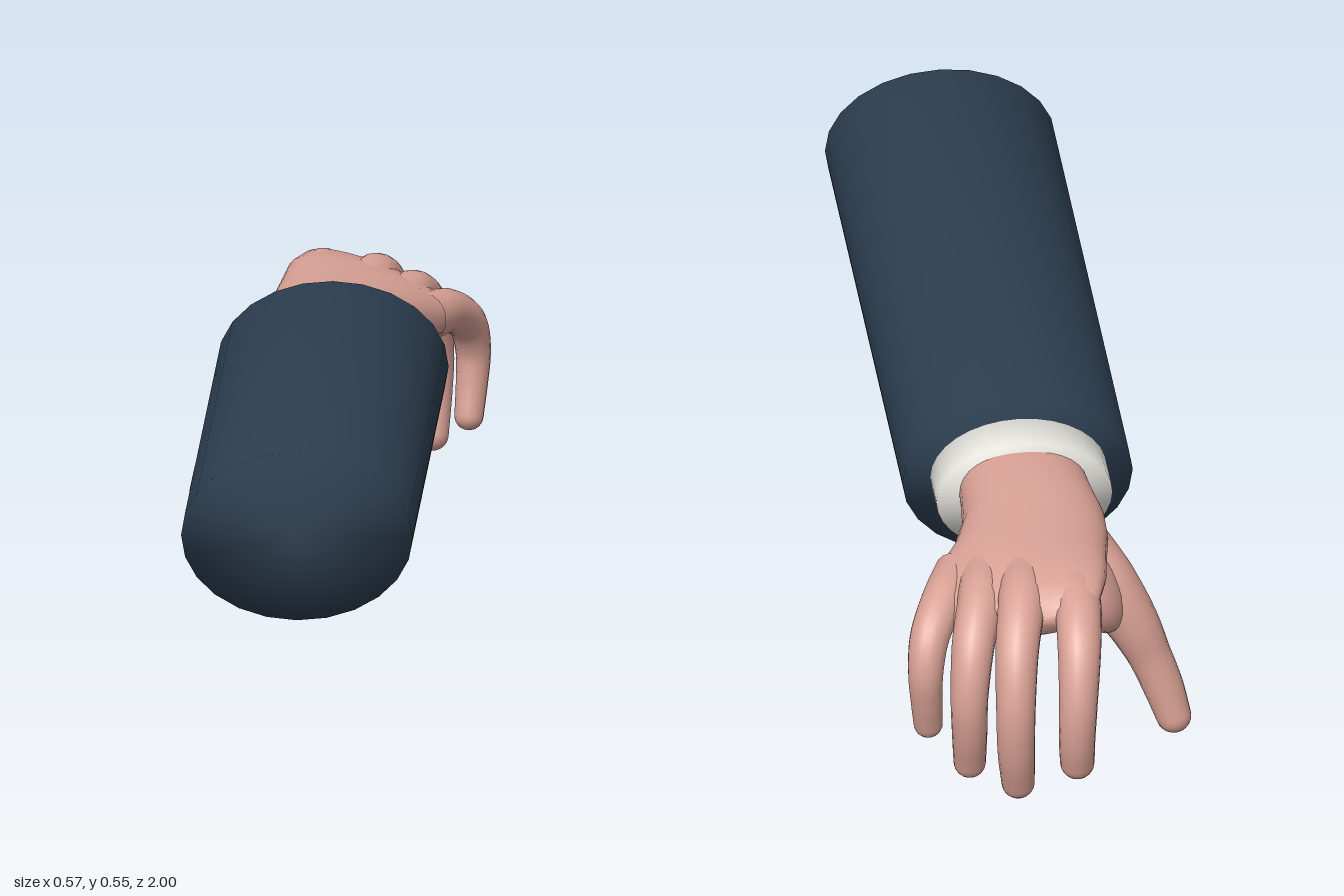
import * as THREE from 'three';

// Skin a list of rings (each a loop turning counter-clockwise about the travel direction)
function loft(rings) {
  const n = rings[0].length, pos = [], idx = [];
  rings.forEach(r => r.forEach(p => pos.push(p.x, p.y, p.z)));
  for (let i = 0; i < rings.length - 1; i++) {
    for (let j = 0; j < n; j++) {
      const k = (j + 1) % n;
      const a = i * n + j, b = i * n + k, c = b + n, d = a + n;
      idx.push(a, b, d, b, c, d);
    }
  }
  const g = new THREE.BufferGeometry();
  g.setAttribute('position', new THREE.Float32BufferAttribute(pos, 3));
  g.setIndex(idx);
  g.computeVertexNormals();
  return g;
}

// Rounded ring across z, with a sideways tilt (y) and a slant (z)
function zRing(n, z, cx, hw, cy, hh, tilt = 0, slant = 0, power = 1) {
  return Array.from({ length: n }, (_, j) => {
    const a = j / n * Math.PI * 2;
    const soft = v => Math.sign(v) * Math.abs(v) ** power;
    const dx = hw * soft(Math.cos(a));
    return new THREE.Vector3(cx + dx, cy - hh * soft(Math.sin(a)) + tilt * dx, z + slant * dx);
  });
}

// Closed oval tube with normals shared between wall and ends
function ovalTube(z0, z1, cx, hw, cy, hh, n) {
  return loft([
    zRing(n, z0, cx, 0, cy, 0), zRing(n, z0, cx, hw, cy, hh),
    zRing(n, z1, cx, hw, cy, hh), zRing(n, z1, cx, 0, cy, 0),
  ]);
}

// Tapered finger through [x, y, z, radius] points, with a round tip
function finger(points, sides = 18, steps = 28) {
  const curve = new THREE.CatmullRomCurve3(points.map(p => new THREE.Vector3(p[0], p[1], p[2])));
  const frames = curve.computeFrenetFrames(steps);
  const ring = (c, r, i) => Array.from({ length: sides }, (_, j) => {
    const a = j / sides * Math.PI * 2;
    return c.clone()
      .addScaledVector(frames.normals[i], r * Math.cos(a))
      .addScaledVector(frames.binormals[i], r * Math.sin(a));
  });
  const rings = [];
  for (let i = 0; i <= steps; i++) {
    const u = i / steps, s = curve.getUtoTmapping(u) * (points.length - 1);
    const k = Math.min(Math.floor(s), points.length - 2);
    rings.push(ring(curve.getPointAt(u), THREE.MathUtils.lerp(points[k][3], points[k + 1][3], s - k), i));
  }
  const end = curve.getPointAt(1), r = points[points.length - 1][3];
  for (let q = 1; q <= 6; q++) {
    const a = q / 6 * Math.PI / 2;
    rings.push(ring(end.clone().addScaledVector(frames.tangents[steps], r * Math.sin(a)), r * Math.cos(a), steps));
  }
  return loft(rings);
}

export function createModel() {
  const model = new THREE.Group();
  model.name = 'sleevedArm';
  const material = (name, color) => {
    const m = new THREE.MeshStandardMaterial({ color });
    m.name = name;
    return m;
  };
  const navy = material('navy cloth', 0x2c3e50);
  const white = material('white cloth', 0xe0ded8);
  const skin = material('skin', 0xd9a195);

  const add = (parent, name, geometry, mat) => {
    const mesh = new THREE.Mesh(geometry, mat);
    mesh.name = name;
    parent.add(mesh);
    return mesh;
  };

  // Sleeve and shirt cuff
  add(model, 'sleeve', ovalTube(1, -0.265, 0.01, 0.222, 0.39, 0.166, 24), navy);
  add(model, 'cuff', ovalTube(-0.2, -0.36, 0.008, 0.17, 0.398, 0.118, 32), white);

  const hand = new THREE.Group();
  hand.name = 'hand';
  model.add(hand);

  // Wrist and palm: z, centre x, half width, centre y, half height, tilt, slant
  const sections = [
    [-0.33, 0.01, 0.122, 0.412, 0.085, 0, 0],
    [-0.40, 0.008, 0.127, 0.41, 0.088, 0, 0],
    [-0.48, 0.005, 0.137, 0.407, 0.084, 0, 0],
    [-0.56, 0.02, 0.15, 0.405, 0.077, -0.05, 0],
    [-0.64, 0.045, 0.16, 0.41, 0.066, -0.12, 0.15],
    [-0.71, 0.06, 0.163, 0.41, 0.058, -0.2, 0.3],
    [-0.78, 0.07, 0.15, 0.405, 0.05, -0.25, 0.4],
    [-0.82, 0.075, 0.12, 0.393, 0.034, -0.28, 0.45],
    [-0.83, 0.075, 0, 0.39, 0, 0, 0],
  ];
  add(hand, 'palm', loft(sections.map(s => zRing(32, ...s, 0.88))), skin);

  // Fingers curling down from the knuckles
  const fingers = {
    indexFinger: [
      [-0.03, 0.415, -0.70, 0.05], [-0.04, 0.427, -0.81, 0.046], [-0.033, 0.385, -0.91, 0.042],
      [-0.025, 0.29, -0.962, 0.037], [-0.022, 0.21, -0.965, 0.035], [-0.024, 0.152, -0.952, 0.033],
    ],
    middleFinger: [
      [0.05, 0.42, -0.70, 0.05], [0.065, 0.422, -0.80, 0.046], [0.084, 0.37, -0.885, 0.042],
      [0.092, 0.27, -0.932, 0.038], [0.091, 0.17, -0.93, 0.036], [0.085, 0.09, -0.908, 0.032],
    ],
    ringFinger: [
      [0.12, 0.405, -0.66, 0.05], [0.14, 0.403, -0.755, 0.044], [0.163, 0.35, -0.832, 0.041],
      [0.174, 0.26, -0.868, 0.036], [0.173, 0.18, -0.862, 0.034], [0.17, 0.1, -0.838, 0.031],
    ],
    littleFinger: [
      [0.165, 0.39, -0.62, 0.048], [0.205, 0.382, -0.705, 0.043], [0.24, 0.34, -0.772, 0.038],
      [0.25, 0.28, -0.797, 0.034], [0.248, 0.22, -0.792, 0.031], [0.243, 0.155, -0.777, 0.028],
    ],
    thumb: [
      [-0.06, 0.39, -0.52, 0.07], [-0.12, 0.32, -0.565, 0.064], [-0.17, 0.245, -0.585, 0.052],
      [-0.205, 0.17, -0.592, 0.042], [-0.232, 0.1, -0.6, 0.039], [-0.25, 0.042, -0.61, 0.034],
    ],
  };
  for (const [name, points] of Object.entries(fingers)) add(hand, name, finger(points), skin);

  // Fleshy pad joining thumb and palm
  const pad = add(hand, 'thumbPad', new THREE.SphereGeometry(1, 24, 16), skin);
  pad.scale.set(0.06, 0.115, 0.1);
  pad.position.set(-0.085, 0.335, -0.58);
  pad.rotation.z = -0.5;

  return model;
}
